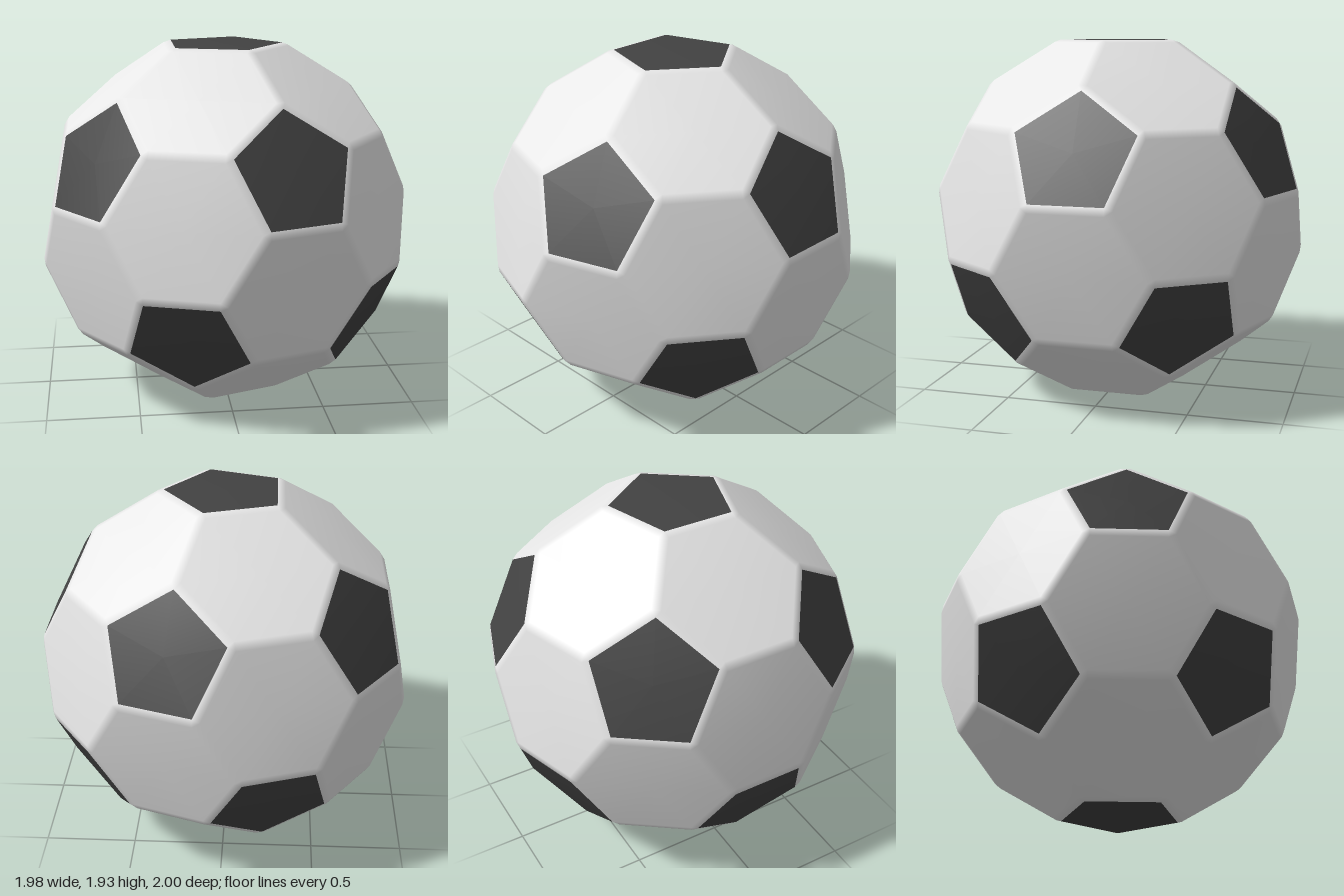
import * as THREE from 'three';

const R = 1.184;      // radius of the parent icosahedron
const CORE = 0.93;    // shrink before rounding
const ROUND = 0.068;  // outward offset of each panel
const HALF_HEIGHT = 0.967;

export function createModel() {
  const white = new THREE.MeshStandardMaterial({ color: 0xe7e7e7 });
  white.name = 'white';
  const black = new THREE.MeshStandardMaterial({ color: 0x424242 });
  black.name = 'black';

  // Icosahedron points: two poles and two staggered rings
  const ico = [new THREE.Vector3(0, R, 0), new THREE.Vector3(0, -R, 0)];
  const ringR = R * 2 / Math.sqrt(5), ringY = R / Math.sqrt(5);
  for (let k = 0; k < 10; k++) {
    const a = k * Math.PI / 5;
    ico.push(new THREE.Vector3(ringR * Math.cos(a), k % 2 ? -ringY : ringY, ringR * Math.sin(a)));
  }
  const near = (i, j) => i !== j && ico[i].distanceTo(ico[j]) < R * 1.2;

  // Panels: a pentagon at each point, a hexagon on each triangle.
  // Corner i*12+j lies a third of the way from point i to point j.
  const panels = [];
  for (let i = 0; i < 12; i++) {
    const ring = ico.map((_, j) => j).filter(j => near(i, j));
    panels.push({ dark: true, normal: ico[i].clone().normalize(), corners: ring.map(j => i * 12 + j) });
    for (const j of ring) for (const k of ring) {
      if (i < j && j < k && near(j, k)) {
        panels.push({
          dark: false,
          normal: ico[i].clone().add(ico[j]).add(ico[k]).normalize(),
          corners: [[i, j], [j, i], [j, k], [k, j], [k, i], [i, k]].map(([a, b]) => a * 12 + b),
        });
      }
    }
  }

  const points = [];
  const whiteIndex = [], blackIndex = [];
  const addPoint = p => points.push(p) - 1;

  // Order the corners counter-clockwise seen from outside, then fan them
  function fill(ids, index, withCentre) {
    const centre = new THREE.Vector3();
    ids.forEach(id => centre.add(points[id]));
    centre.divideScalar(ids.length);
    const n = centre.clone().normalize();
    const u = points[ids[0]].clone().sub(centre).projectOnPlane(n).normalize();
    const v = n.clone().cross(u);
    const angle = id => {
      const d = points[id].clone().sub(centre);
      return Math.atan2(d.dot(v), d.dot(u));
    };
    const loop = [...ids].sort((a, b) => angle(a) - angle(b));
    if (withCentre) {
      const c = addPoint(centre);
      loop.forEach((id, k) => index.push(c, id, loop[(k + 1) % loop.length]));
    } else {
      for (let k = 1; k < loop.length - 1; k++) index.push(loop[0], loop[k], loop[k + 1]);
    }
  }

  // Flat panels
  const atCorner = new Map();
  for (const panel of panels) {
    panel.ids = new Map();
    for (const c of panel.corners) {
      const p = ico[Math.floor(c / 12)].clone().lerp(ico[c % 12], 1 / 3);
      const id = addPoint(p.multiplyScalar(CORE).addScaledVector(panel.normal, ROUND));
      panel.ids.set(c, id);
      if (!atCorner.has(c)) atCorner.set(c, []);
      atCorner.get(c).push(id);
    }
    fill([...panel.ids.values()], panel.dark ? blackIndex : whiteIndex, true);
  }

  // Bevels along the seams and at the corners
  panels.forEach((a, i) => {
    for (const b of panels.slice(i + 1)) {
      const shared = a.corners.filter(c => b.ids.has(c));
      if (shared.length === 2) fill(shared.flatMap(c => [a.ids.get(c), b.ids.get(c)]), whiteIndex, false);
    }
  });
  for (const ids of atCorner.values()) fill(ids, whiteIndex, false);

  // Smooth normals run across the whole skin
  const skin = new THREE.BufferGeometry().setFromPoints(points);
  skin.setIndex([...whiteIndex, ...blackIndex]);
  skin.computeVertexNormals();

  const ball = new THREE.Group();
  ball.name = 'ball';
  const addMesh = (name, index, material) => {
    const g = skin.clone();
    g.setIndex(index);
    const mesh = new THREE.Mesh(g, material);
    mesh.name = name;
    mesh.position.y = HALF_HEIGHT;
    ball.add(mesh);
  };
  addMesh('hexagonPanelsAndSeams', whiteIndex, white);
  addMesh('pentagonPanels', blackIndex, black);
  return ball;
}
